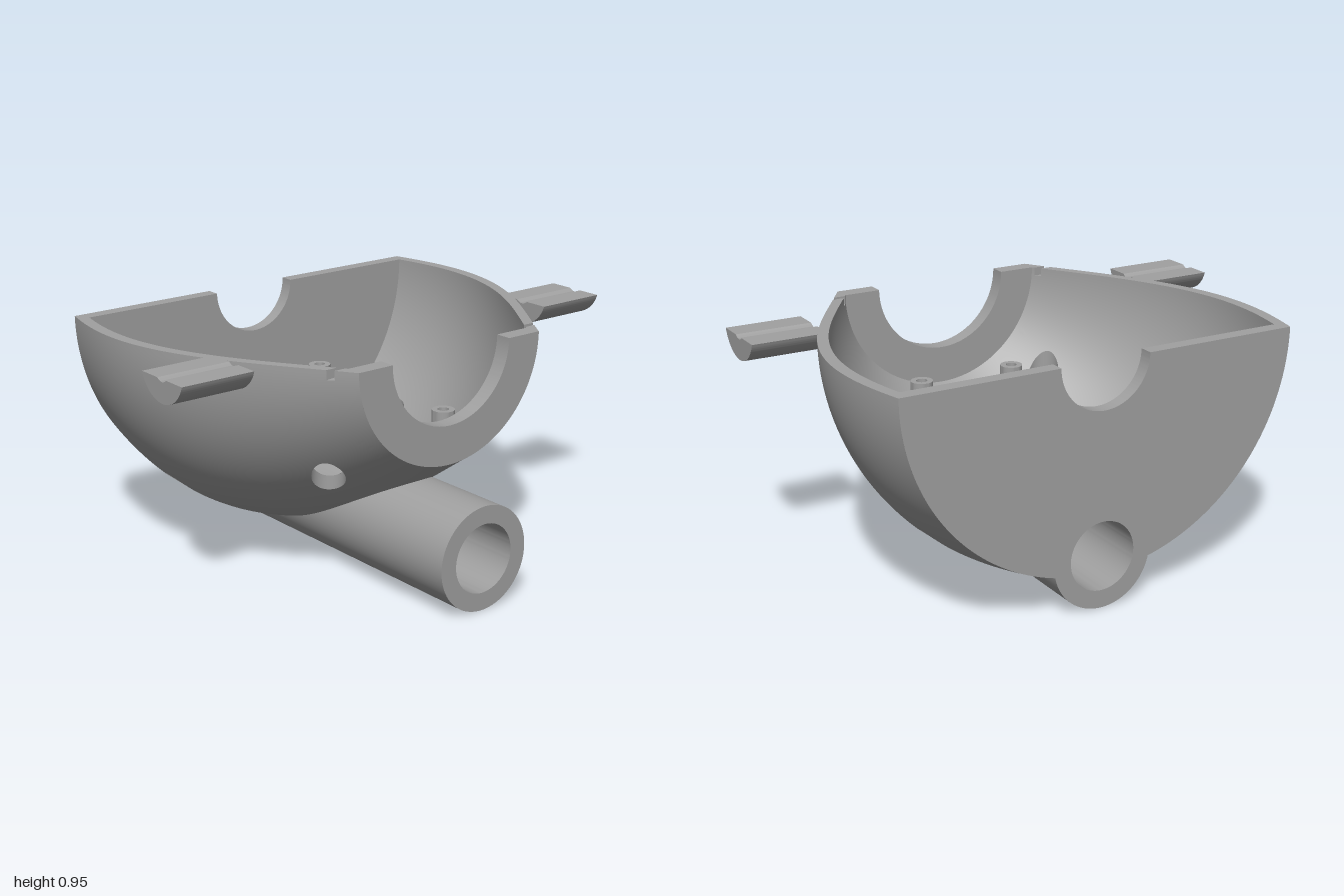
import * as THREE from 'three';
import { toCreasedNormals } from 'three/addons/utils/BufferGeometryUtils.js';

const TOP = 0.95, BACK = -0.735, FRONT = 0.545;
const TUBE_Y = 0.205, TUBE_R = 0.205, BORE = 0.135;
const V = (x, y, z) => new THREE.Vector3(x, y, z);
const range = (a, b, n) => Array.from({ length: n + 1 }, (_, i) => a + (b - a) * i / n);

// Smooth hull radius along z, through five stations
const stations = [[-0.735, 0.812], [-0.43, 0.86], [-0.1, 0.808], [0.2, 0.66], [0.545, 0.432]];
const outerR = z => stations.reduce((sum, [zi, ri], i) =>
  sum + stations.reduce((p, [zj], j) => i === j ? p : p * (z - zj) / (zi - zj), ri), 0);
const innerR = z => outerR(z) - 0.046;

// Keep the part of a polygon where f >= 0
function clip(poly, f) {
  const out = [];
  poly.forEach((a, k) => {
    const b = poly[(k + 1) % poly.length], fa = f(a), fb = f(b);
    if (fa >= 0) out.push(a);
    if (fa * fb < 0) out.push(a.clone().lerp(b, fa / (fa - fb)));
  });
  return out;
}

// Collects polygons and turns them into one creased geometry
class Skin {
  constructor() { this.pos = []; }
  poly(points, cuts = []) {
    const p = cuts.reduce(clip, points);
    for (let k = 1; k < p.length - 1; k++) {
      const t = new THREE.Triangle(p[0], p[k], p[k + 1]);
      if (t.getArea() > 1e-7) for (const v of [t.a, t.b, t.c]) this.pos.push(v.x, v.y, v.z);
    }
  }
  sheet(point, us, vs, cuts, flip, skip = () => false) {
    for (let j = 0; j < vs.length - 1; j++) for (let i = 0; i < us.length - 1; i++) {
      if (skip(i, j)) continue;
      const a = point(us[i], vs[j]), b = point(us[i], vs[j + 1]);
      const c = point(us[i + 1], vs[j + 1]), d = point(us[i + 1], vs[j]);
      for (const t of [[a, b, c], [a, c, d]]) this.poly(flip ? t.reverse() : t, cuts);
    }
  }
  // Wall of a vertical drilled hole between two heights
  lining(cx, cz, r, low, high) {
    const at = (t, h) => {
      const x = cx + r * Math.cos(t), z = cz + r * Math.sin(t);
      return V(x, h(x, z), z);
    };
    this.sheet((t, k) => at(t, k ? high : low), range(0, Math.PI * 2, 32), [0, 1], [], false);
  }
  geometry() {
    const g = new THREE.BufferGeometry();
    g.setAttribute('position', new THREE.Float32BufferAttribute(this.pos, 3));
    return toCreasedNormals(g, 0.5);
  }
}

const drill = (cx, cz, r) => p => Math.hypot(p.x - cx, p.z - cz) - r;

// Half bowl with drilled holes, rim and two rim slots
function hullGeometry() {
  const skin = new Skin(), N = 128, slotDepth = 3, slotRow = 80;
  const angles = range(0, Math.PI, N);
  const rows = [...range(BACK, 0.445, slotRow), ...range(0.47, FRONT, 5)];
  const holes = [];
  for (const s of [-1, 1]) holes.push([s * 0.535, -0.45, 0.064], [s * 0.37, 0.29, 0.064]);
  const cuts = holes.map(h => drill(...h));
  cuts.push(p => Math.hypot(p.x, p.y - TUBE_Y) - 0.17);
  const on = radius => (a, z) => V(radius(z) * Math.cos(a), TOP - radius(z) * Math.sin(a), z);
  const out = on(outerR), inn = on(innerR);
  const slot = (i, j) => j === slotRow && (i < slotDepth || i >= N - slotDepth);
  skin.sheet(out, angles, rows, cuts, false, slot);
  skin.sheet(inn, angles, rows, cuts, true, slot);
  // Rim
  for (const [a, flip] of [[0, false], [Math.PI, true]])
    skin.sheet((k, z) => (k ? out : inn)(a, z), [0, 1], rows, [], flip, (i, j) => j === slotRow);
  // Slot floors and sides
  const z0 = rows[slotRow], z1 = rows[slotRow + 1];
  for (const [lip, floor] of [[0, angles[slotDepth]], [Math.PI, angles[N - slotDepth]]]) {
    skin.poly([out(floor, z0), out(floor, z1), inn(floor, z1), inn(floor, z0)]);
    for (const z of [z0, z1]) skin.poly([out(lip, z), out(floor, z), inn(floor, z), inn(lip, z)]);
  }
  const height = radius => (x, z) => TOP - Math.sqrt(radius(z) ** 2 - x * x);
  for (const h of holes) skin.lining(...h, height(outerR), height(innerR));
  return skin.geometry();
}

// Pipe with a flat slot below its rear end and a small hole through both walls
function tubeGeometry() {
  const skin = new Skin(), angles = range(0, Math.PI * 2, 96);
  const rows = [BACK, -0.6901, -0.69, ...range(-0.65, -0.61, 1), ...range(-0.6099, 0.735, 96)];
  const cut = [drill(0, -0.12, 0.022)];
  const on = r => (a, z) => {
    const y = TUBE_Y - r * Math.sin(a);
    return V(r * Math.cos(a), z > -0.69005 && z < -0.60995 ? Math.max(y, 0.025) : y, z);
  };
  skin.sheet(on(TUBE_R), angles, rows, cut, false);
  skin.sheet(on(BORE), angles, rows, cut, true);
  for (const [z, flip] of [[BACK, false], [0.735, true]])
    skin.sheet((a, r) => on(r)(a, z), angles, [BORE, TUBE_R], [], flip);
  const level = (r, s) => x => TUBE_Y + s * Math.sqrt(r * r - x * x);
  for (const s of [-1, 1]) skin.lining(0, -0.12, 0.022, level(BORE, s), level(TUBE_R, s));
  return skin.geometry();
}

const extrude = (shape, depth) => toCreasedNormals(
  new THREE.ExtrudeGeometry(shape, { depth, bevelEnabled: false, curveSegments: 48 }), 0.5);

// Rear half disc with a neck notch and a cut-out around the pipe
function backWallGeometry() {
  const R = outerR(BACK), r = 0.17, d = TOP - TUBE_Y;
  const a = (R * R - r * r + d * d) / (2 * d), h = Math.sqrt(R * R - a * a);
  const end = Math.atan2(h, a), lean = Math.atan2(d - a, h);
  const s = new THREE.Shape();
  s.moveTo(-0.185, TOP);
  s.lineTo(-R, TOP);
  s.absarc(0, TOP, R, Math.PI, Math.PI * 1.5 - end, false);
  s.absarc(0, TUBE_Y, r, Math.PI - lean, lean, true);
  s.absarc(0, TOP, R, -Math.PI / 2 + end, 0, false);
  s.lineTo(0.185, TOP);
  s.absarc(0, TOP, 0.185, 0, -Math.PI, true);
  return extrude(s, 0.055);
}

// Front half ring
function frontWallGeometry() {
  const s = new THREE.Shape();
  s.absarc(0, TOP, outerR(FRONT), Math.PI, Math.PI * 2, false);
  s.absarc(0, TOP, 0.28, 0, -Math.PI, true);
  return extrude(s, 0.065);
}

// Side peg: round underside, flat top with a shallow groove
function pegGeometry() {
  const R = 0.132, cy = 0.992, a = Math.asin((cy - TOP) / R);
  const s = new THREE.Shape();
  s.absarc(0, cy, R, Math.PI + a, Math.PI * 2 - a, false);
  s.lineTo(0.028, TOP);
  s.quadraticCurveTo(0, TOP - 0.022, -0.028, TOP);
  return extrude(s, 0.3);
}

export function createModel() {
  const model = new THREE.Group();
  const grey = new THREE.MeshStandardMaterial({ color: 0xa0a0a0, side: THREE.DoubleSide });
  grey.name = 'plain grey';
  const add = (name, geometry, x = 0, y = 0, z = 0) => {
    const mesh = new THREE.Mesh(geometry, grey);
    mesh.name = name;
    mesh.position.set(x, y, z);
    model.add(mesh);
    return mesh;
  };
  add('hull', hullGeometry());
  add('tube', tubeGeometry());
  add('backWall', backWallGeometry(), 0, 0, BACK);
  add('frontWall', frontWallGeometry(), 0, 0, FRONT - 0.065);

  const peg = pegGeometry();
  add('leftPeg', peg, 0.7, 0, 0.175).rotation.y = Math.PI / 2;
  add('rightPeg', peg, -1, 0, 0.175).rotation.y = Math.PI / 2;

  // Hollow screw posts
  const profile = [[0.022, 0], [0.045, 0], [0.045, 0.11], [0.022, 0.11], [0.022, 0]];
  const post = toCreasedNormals(
    new THREE.LatheGeometry(profile.map(p => new THREE.Vector2(...p)), 32), 0.5);
  for (const x of [-0.205, 0.205]) for (const z of [-0.51, 0.27]) add('screwPost', post, x, 0.51, z);
  return model;
}
